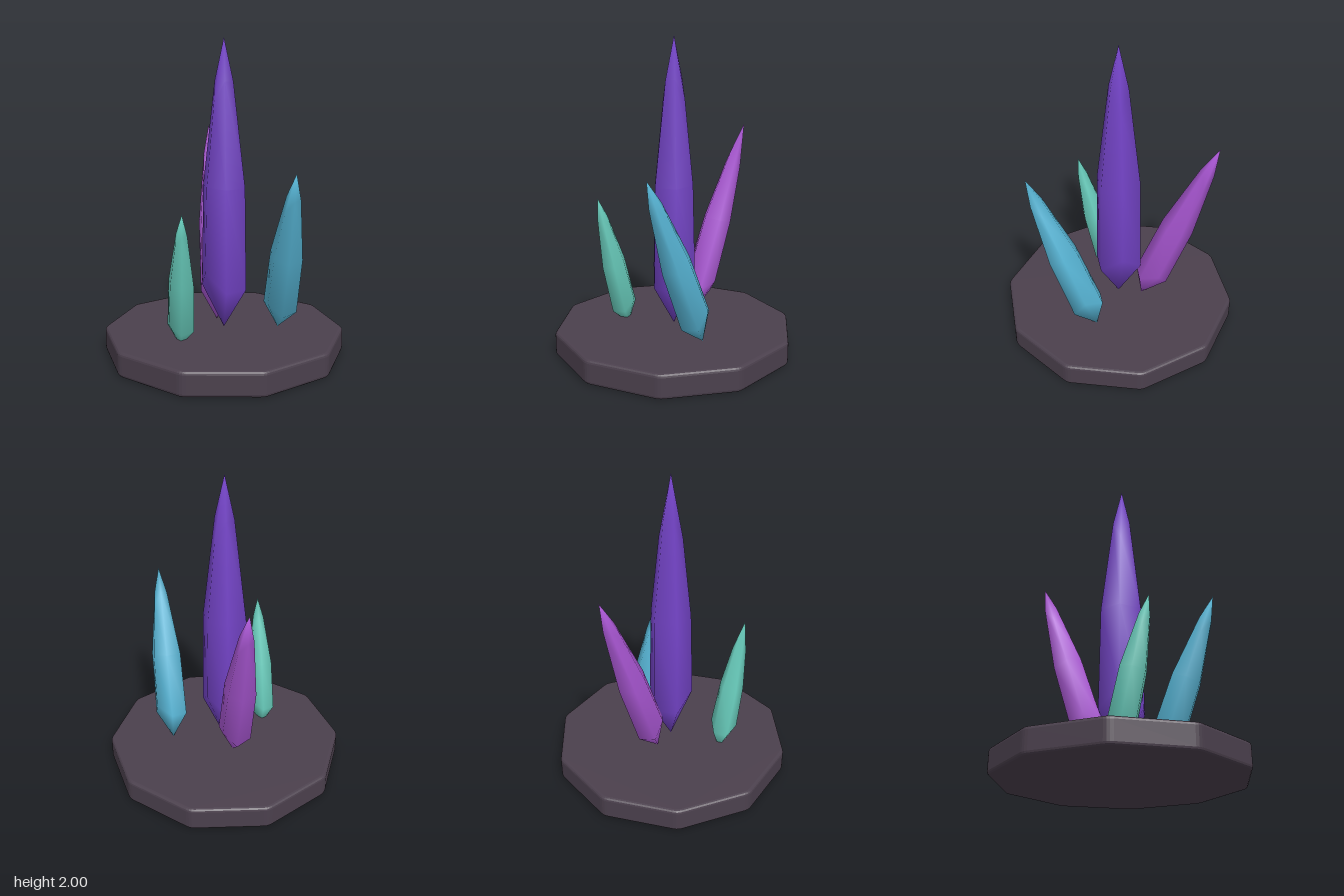
import * as THREE from 'three';
import { mergeVertices } from 'three/addons/utils/BufferGeometryUtils.js';

const material = (name, color) => {
  const m = new THREE.MeshStandardMaterial({ color });
  m.name = name;
  return m;
};

// Six-sided shard of unit height and unit girth, pointed at both ends.
// Two opposite ridges (front and back) sit at other heights than the other four.
function shardGeometry() {
  const sideRidge = [[0, 0], [1.07, 0.144], [1, 0.5], [0.44, 0.856], [0, 1]];
  const endRidge = [[0, 0], [1, 0.205], [0.9, 0.505], [0.52, 0.785], [0, 1]];
  const geo = new THREE.LatheGeometry(sideRidge.map(p => new THREE.Vector2(...p)), 6);
  const pos = geo.attributes.position;
  const rings = sideRidge.length;
  for (let i = 0; i < pos.count; i++) {
    const side = Math.floor(i / rings), ring = i % rings;
    if (side % 3 !== 0) continue;
    const [r, y] = endRidge[ring];
    pos.setXYZ(i, 0, y, side === 3 ? -r : r);
  }
  geo.deleteAttribute('uv');
  geo.deleteAttribute('normal');
  const smooth = mergeVertices(geo, 1e-4);
  smooth.computeVertexNormals();
  return smooth;
}

// Ten-sided slab with rounded corners and a soft bevel.
function baseGeometry(radius, height) {
  const corners = [];
  for (let i = 0; i < 10; i++) {
    const a = (i / 10) * Math.PI * 2 + Math.PI / 2;
    corners.push(new THREE.Vector2(Math.cos(a) * radius, Math.sin(a) * radius));
  }
  const shape = new THREE.Shape();
  corners.forEach((c, i) => {
    const from = c.clone().lerp(corners[(i + 9) % 10], 0.06);
    const to = c.clone().lerp(corners[(i + 1) % 10], 0.06);
    if (i === 0) shape.moveTo(from.x, from.y);
    else shape.lineTo(from.x, from.y);
    shape.quadraticCurveTo(c.x, c.y, to.x, to.y);
  });
  shape.closePath();
  const bevel = 0.02;
  const geo = new THREE.ExtrudeGeometry(shape, {
    depth: height - 2 * bevel, bevelThickness: bevel, bevelSize: bevel,
    bevelOffset: -bevel, bevelSegments: 3, curveSegments: 3,
  });
  geo.translate(0, 0, bevel);
  geo.rotateX(-Math.PI / 2);
  return geo;
}

export function createModel() {
  const model = new THREE.Group();
  model.name = 'crystalCluster';

  const base = new THREE.Mesh(baseGeometry(0.774, 0.155), material('darkStone', 0x4b404d));
  base.name = 'base';
  model.add(base);

  // Each crystal runs from its foot to its tip
  const geo = shardGeometry();
  const crystals = [
    ['centreCrystal', 'purple', 0x7343c6, 0.145, [0, 0.155, 0], [0, 2, 0]],
    ['rightCrystal', 'magenta', 0xaa57d4, 0.104, [-0.15, 0.155, -0.05], [-0.555, 1.41, -0.265]],
    ['leftCrystal', 'skyBlue', 0x56b3d3, 0.106, [0.2, 0.155, -0.285], [0.585, 1.225, -0.095]],
    ['frontCrystal', 'seaGreen', 0x66c8b8, 0.086, [0.0, 0.1, 0.335], [0.195, 0.985, 0.44]],
  ];
  const up = new THREE.Vector3(0, 1, 0);
  for (const [name, colorName, color, girth, foot, tip] of crystals) {
    const mesh = new THREE.Mesh(geo, material(colorName, color));
    mesh.name = name;
    mesh.position.set(...foot);
    const axis = new THREE.Vector3(...tip).sub(mesh.position);
    mesh.scale.set(girth, axis.length(), girth);
    mesh.quaternion.setFromUnitVectors(up, axis.normalize());
    model.add(mesh);
  }
  return model;
}
